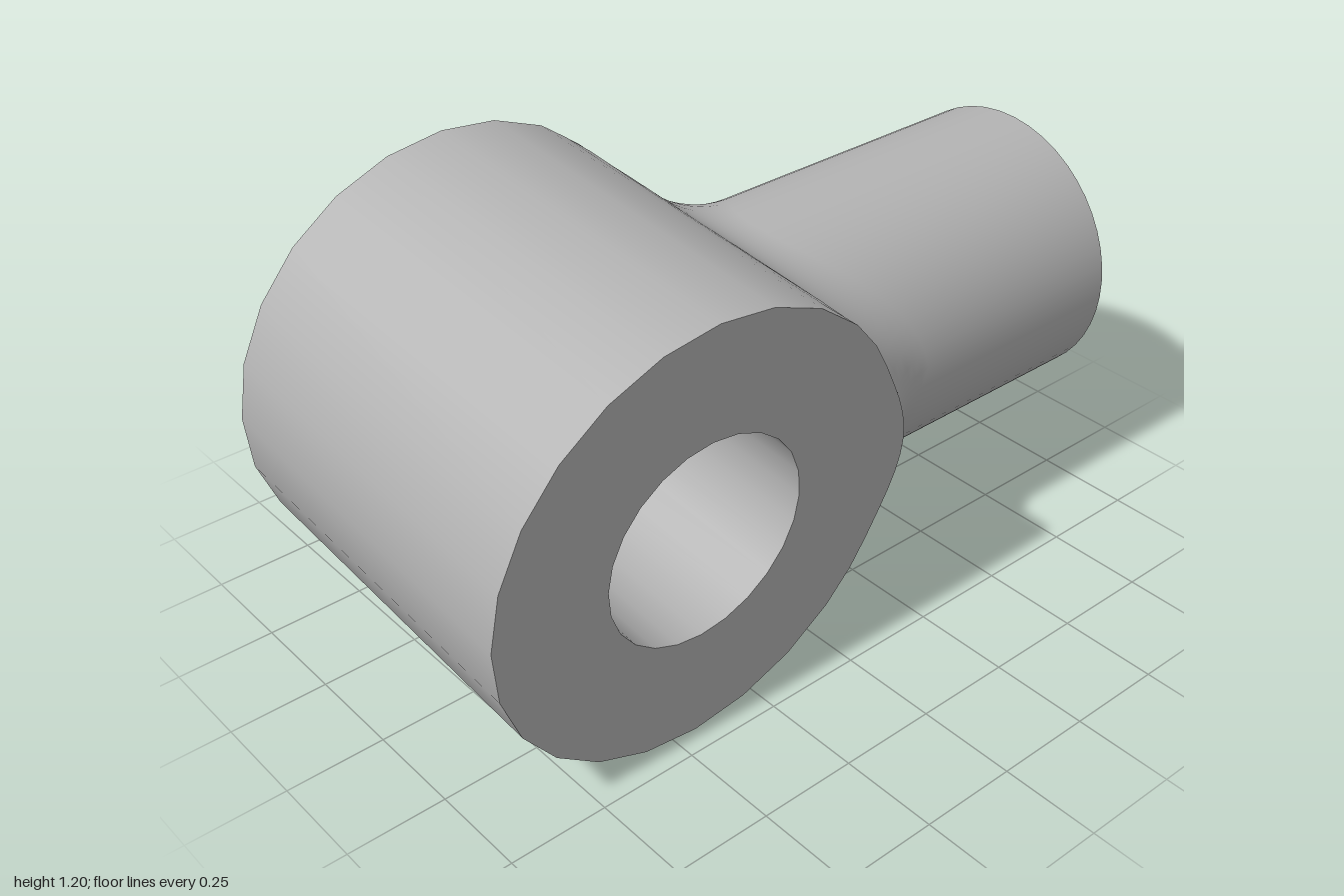
import * as THREE from 'three';

const R = 0.5625, BORE = 0.2675, HALF = 0.484; // barrel radius, bore radius, half length
const SHAFT = 0.363, FILLET = 0.24;            // shaft radius, blend radius
const CX = -0.4375, CY = 0.6, TILT = 0.0775;   // barrel axis position and tilt
const EDGE = Math.PI / 3;                      // half angle of the barrel patch around the shaft
const ARC = 10, PATCH = 4;

// angle round the barrel where the blend touches it
const touchAngle = (phi) => Math.asin((SHAFT + FILLET) * Math.sin(phi) / (R + FILLET));

// angle round the shaft that leads to the corner of the barrel patch
function cornerAngle() {
  let lo = 0.1, hi = 1.5;
  for (let k = 0; k < 40; k++) {
    const m = (lo + hi) / 2;
    if (touchAngle(m) / ((SHAFT + FILLET) * Math.cos(m)) < EDGE / HALF) lo = m; else hi = m;
  }
  return lo;
}

// one line of points and normals: shaft end, blend arc, then out across the barrel
function section(phi) {
  const s = Math.sin(phi), c = Math.cos(phi), reach = SHAFT + FILLET;
  const v = reach * s, u = Math.sqrt((R + FILLET) ** 2 - v * v);
  const centre = new THREE.Vector3(u, v, reach * c);
  const toShaft = new THREE.Vector3(0, -s, -c);
  const toBarrel = new THREE.Vector3(-u, -v, 0).normalize();
  const full = toShaft.angleTo(toBarrel);
  const dir = (t) => toShaft.clone().multiplyScalar(Math.sin(full * (1 - t)))
    .addScaledVector(toBarrel, Math.sin(full * t)).normalize();
  const at = (t) => centre.clone().addScaledVector(dir(t), FILLET);

  // stop the blend at the barrel's end face
  let end = 1;
  const cut = Math.abs(centre.z) > HALF;
  if (cut) {
    let lo = 0, hi = 1;
    for (let k = 0; k < 40; k++) {
      end = (lo + hi) / 2;
      if (Math.abs(at(end).z) < HALF) lo = end; else hi = end;
    }
  }
  const points = [new THREE.Vector3(1 - CX, SHAFT * s, SHAFT * c)];
  const normals = [new THREE.Vector3(0, s, c)];
  for (let j = 0; j <= ARC; j++) {
    points.push(at(end * j / ARC));
    normals.push(dir(end * j / ARC).negate());
  }
  const theta = touchAngle(phi);
  const grow = Math.min(EDGE / Math.max(Math.abs(theta), 1e-6), HALF / Math.max(Math.abs(centre.z), 1e-6));
  for (let j = 1; j <= PATCH; j++) {
    if (cut) {
      points.push(at(end));
      normals.push(dir(end).negate());
    } else {
      const k = 1 + (grow - 1) * j / PATCH, a = theta * k;
      points.push(new THREE.Vector3(R * Math.cos(a), R * Math.sin(a), centre.z * k));
      normals.push(new THREE.Vector3(Math.cos(a), Math.sin(a), 0));
    }
  }
  return { points, normals };
}

function loft(sections) {
  const pos = [], nor = [], index = [], n = sections[0].points.length;
  for (const s of sections) {
    s.points.forEach((p) => pos.push(p.x, p.y, p.z));
    s.normals.forEach((p) => nor.push(p.x, p.y, p.z));
  }
  for (let i = 0; i < sections.length; i++) {
    for (let j = 0; j < n - 1; j++) {
      const a = i * n + j, b = ((i + 1) % sections.length) * n + j;
      index.push(a, b, a + 1, b, b + 1, a + 1);
    }
  }
  const g = new THREE.BufferGeometry();
  g.setAttribute('position', new THREE.Float32BufferAttribute(pos, 3));
  g.setAttribute('normal', new THREE.Float32BufferAttribute(nor, 3));
  g.setIndex(index);
  return g;
}

export function createModel() {
  const steel = new THREE.MeshStandardMaterial({ color: 0xb4b4b4 });
  steel.name = 'grey steel';
  const inner = steel.clone();
  inner.side = THREE.BackSide;

  const model = new THREE.Group();
  model.name = 'rodEnd';
  const body = new THREE.Group();
  body.name = 'body';
  body.position.set(CX, CY, 0);
  body.rotation.x = TILT;
  model.add(body);
  const add = (name, geometry, material = steel) => {
    const mesh = new THREE.Mesh(geometry, material);
    mesh.name = name;
    body.add(mesh);
    return mesh;
  };

  // angles round the shaft, from -corner all the way round
  const corner = cornerAngle(), phis = [];
  const span = (from, to, n) => {
    for (let i = 0; i < n; i++) phis.push(from + (to - from) * i / n);
  };
  span(-corner, corner, 16);
  span(corner, Math.PI - corner, 8);
  span(Math.PI - corner, Math.PI + corner, 16);
  span(Math.PI + corner, 2 * Math.PI - corner, 8);
  const sections = phis.map(section);

  // shaft with its blend into the barrel
  add('shaftAndBlend', loft(sections));
  const tip = new THREE.Shape(sections.map(({ points: [p] }) => new THREE.Vector2(-p.z, p.y)).reverse());
  add('shaftEnd', new THREE.ShapeGeometry(tip).rotateY(Math.PI / 2).translate(1 - CX, 0, 0));

  // rest of the barrel and the bore
  add('barrel', new THREE.CylinderGeometry(R, R, 2 * HALF, 16, 1, true,
    EDGE + Math.PI / 2, 2 * Math.PI - 2 * EDGE).rotateX(Math.PI / 2));
  add('bore', new THREE.CylinderGeometry(BORE, BORE, 2 * HALF, 24, 1, true).rotateX(Math.PI / 2), inner);

  // end faces, following the blend where it runs off the barrel
  const outline = sections.slice(0, 17).map(({ points }) => {
    const p = points[points.length - 1];
    return new THREE.Vector2(p.x, p.y);
  });
  for (let i = 1; i < 16; i++) {
    const a = EDGE + i * Math.PI / 12;
    outline.push(new THREE.Vector2(R * Math.cos(a), R * Math.sin(a)));
  }
  const face = new THREE.Shape(outline);
  const hole = [];
  for (let i = 0; i < 24; i++) {
    const a = -i * Math.PI / 12;
    hole.push(new THREE.Vector2(BORE * Math.cos(a), BORE * Math.sin(a)));
  }
  face.holes.push(new THREE.Path(hole));
  const faceGeometry = new THREE.ShapeGeometry(face).translate(0, 0, HALF);
  add('frontFace', faceGeometry);
  add('backFace', faceGeometry).rotation.x = Math.PI;
  return model;
}
